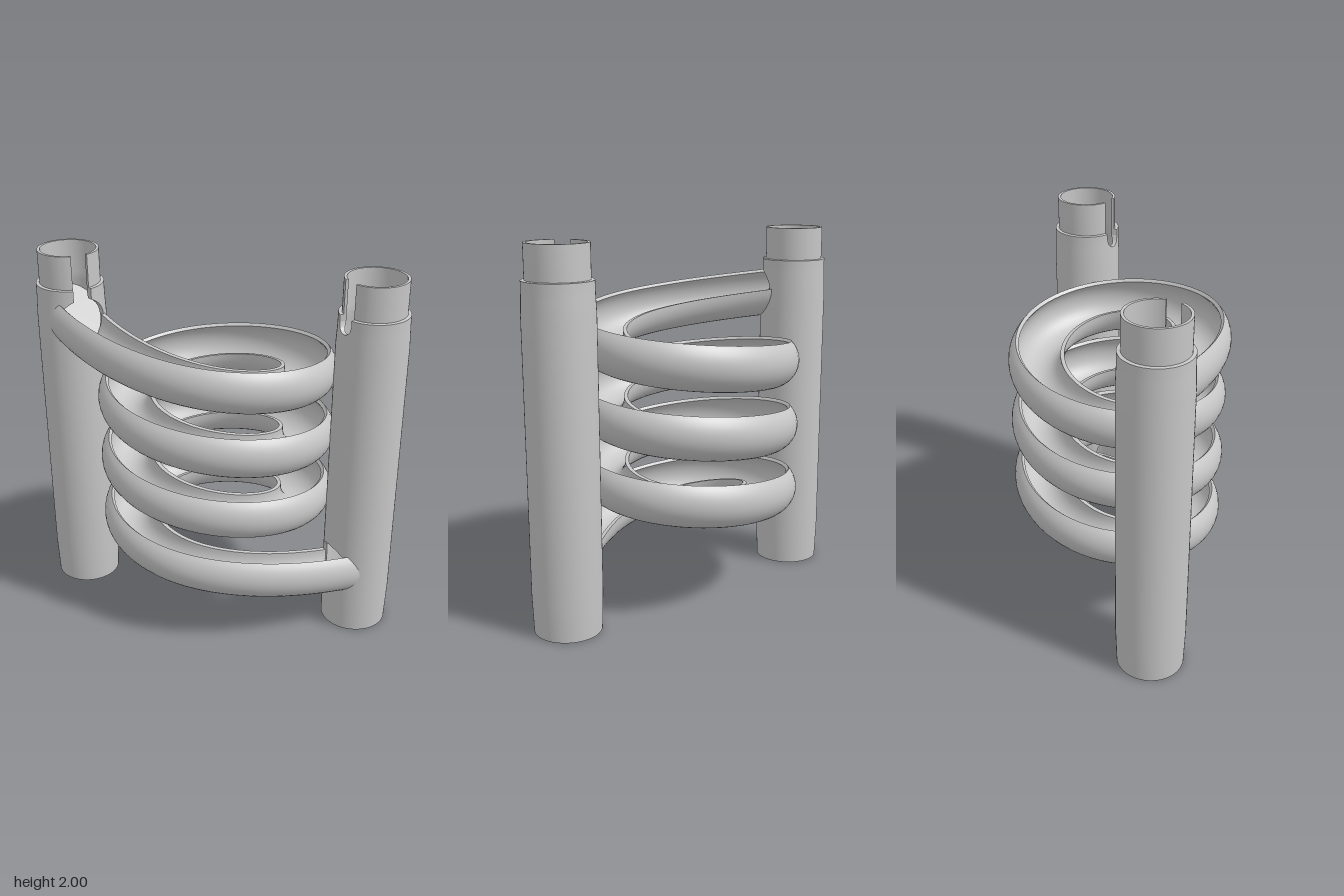
import * as THREE from 'three';
import { toCreasedNormals } from 'three/addons/utils/BufferGeometryUtils.js';

const grey = new THREE.MeshStandardMaterial({ color: 0xc6c6c6, side: THREE.DoubleSide });
grey.name = 'light grey';

const POST_X = 0.815;

// Append a capped loft through closed rings; each ring runs along one wall and back along the other
function loft(out, rings) {
  const tri = (a, b, c) => {
    const n = b.clone().sub(a).cross(c.clone().sub(a));
    if (n.length() > 1e-10) for (const p of [a, b, c]) out.push(p.x, p.y, p.z);
  };
  const quad = (a, b, c, d) => { tri(a, b, c); tri(a, c, d); };
  const n = rings[0].length;
  for (let s = 0; s < rings.length - 1; s++)
    for (let i = 0; i < n; i++) {
      const j = (i + 1) % n;
      quad(rings[s][i], rings[s][j], rings[s + 1][j], rings[s + 1][i]);
    }
  const first = rings[0], last = rings[rings.length - 1];
  for (let i = 0; i < n / 2 - 1; i++) {
    const k = n - 1 - i;
    quad(first[i], first[k], first[k - 1], first[i + 1]);
    quad(last[i], last[i + 1], last[k - 1], last[k]);
  }
}

function meshFrom(positions, name) {
  const g = new THREE.BufferGeometry();
  g.setAttribute('position', new THREE.Float32BufferAttribute(positions, 3));
  const m = new THREE.Mesh(toCreasedNormals(g, 0.6), grey);
  m.name = name;
  return m;
}

// Post wall profile: height, outer radius, inner radius
const PROFILE = [
  [0, 0.178, 0.165], [0.2, 0.185, 0.165], [1.65, 0.185, 0.165], [1.74, 0.181, 0.16],
  [1.78, 0.18, 0.147], [1.82, 0.18, 0.147], [1.822, 0.162, 0.147], [2, 0.162, 0.147],
];
function radii(y) {
  let i = 0;
  while (i < PROFILE.length - 2 && y > PROFILE[i + 1][0]) i++;
  const [a, b] = [PROFILE[i], PROFILE[i + 1]];
  const t = (y - a[0]) / (b[0] - a[0]);
  return [a[1] + (b[1] - a[1]) * t, a[2] + (b[2] - a[2]) * t];
}

// Hollow post with a round port for the channel and a slot in the neck, both facing azimuth az
function post(name, cx, az, portY, slotY) {
  const R = 0.185, portR = 0.13, slotR = 0.05;
  const dPort = Math.asin(portR / R), dSlot = Math.asin(slotR / R);
  const ring = (d, lo, hi) => {
    const outer = [], inner = [];
    for (const [row] of PROFILE) {
      const y = Math.min(hi, Math.max(lo, row));
      const [ro, ri] = radii(y);
      const c = Math.cos(az + d), s = Math.sin(az + d);
      outer.push(new THREE.Vector3(cx + ro * c, y, ro * s));
      inner.unshift(new THREE.Vector3(cx + ri * c, y, ri * s));
    }
    return [...outer, ...inner];
  };
  const out = [];
  const sector = (from, to, steps, lo, hi) => {
    const rings = [];
    for (let i = 0; i <= steps; i++) {
      const d = from + (to - from) * i / steps, u = R * Math.sin(d);
      rings.push(ring(d, lo(u), hi(u)));
    }
    loft(out, rings);
  };
  const half = (r, u) => Math.sqrt(Math.max(0, r * r - u * u));
  const base = () => 0, rim = () => 2;
  const portLow = u => portY - half(portR, u), portHigh = u => portY + half(portR, u);
  const slotLow = u => Math.max(slotY - half(slotR, u), portHigh(u));
  sector(dPort, 2 * Math.PI - dPort, 48, base, rim);
  sector(-dPort, -dSlot, 10, base, portLow);
  sector(-dSlot, dSlot, 12, base, portLow);
  sector(dSlot, dPort, 10, base, portLow);
  sector(-dPort, -dSlot, 10, portHigh, rim);
  sector(dSlot, dPort, 10, portHigh, rim);
  if (slotY > portY) sector(-dSlot, dSlot, 12, portHigh, slotLow);
  return meshFrom(out, name);
}

// Centreline: lead-in from the entry post, three elliptical turns, mirrored lead-out
const LEAD = 24, TOP_Y = 1.548, DROP = 1.08;
function channelPath() {
  const pts = [];
  const turns = 64 * 3;
  const lead = new THREE.CubicBezierCurve(
    new THREE.Vector2(-0.773, 0.06), new THREE.Vector2(-0.585, 0.24),
    new THREE.Vector2(-0.3, 0.427), new THREE.Vector2(0, 0.427)).getPoints(LEAD);
  for (let i = 0; i < LEAD; i++)
    pts.push(new THREE.Vector3(lead[i].x, TOP_Y + 0.1 * (1 - i / LEAD), lead[i].y));
  for (let i = 0; i <= turns; i++) {
    const a = 6 * Math.PI * i / turns;
    pts.push(new THREE.Vector3(0.493 * Math.sin(a), TOP_Y - DROP * i / turns, 0.427 * Math.cos(a)));
  }
  for (let i = LEAD - 1; i >= 0; i--)
    pts.push(new THREE.Vector3(-lead[i].x, TOP_Y - DROP - 0.1 * (1 - i / LEAD), lead[i].y));
  return pts;
}

// Open-topped spiral gutter with a higher outer lip
function channel() {
  const path = channelPath(), N = 24;
  const top = Math.PI * 0.25, end = -Math.PI * 1.03;
  const rings = path.map((p, k) => {
    const t = path[Math.min(k + 1, path.length - 1)].clone().sub(path[Math.max(k - 1, 0)]);
    t.y = 0;
    t.normalize();
    const at = (r, i) => {
      const a = top + (end - top) * i / N, o = r * Math.cos(a);
      const v = new THREE.Vector3(p.x - t.z * o, p.y + r * Math.sin(a), p.z + t.x * o);
      // Keep the ends flush with the bore of the posts
      const cx = Math.sign(v.x) * POST_X, dx = v.x - cx, d = Math.hypot(dx, v.z);
      if (d < 0.167 && (k < LEAD || k >= path.length - LEAD)) {
        v.x = cx + dx * 0.167 / d;
        v.z *= 0.167 / d;
      }
      return v;
    };
    const ring = [];
    for (let i = 0; i <= N; i++) ring.push(at(0.149, i));
    for (let i = N; i >= 0; i--) ring.push(at(0.128, i));
    return ring;
  });
  const out = [];
  loft(out, rings);
  return meshFrom(out, 'spiralChannel');
}

// Sloping floor that steers into the channel
function ramp() {
  const g = new THREE.CylinderGeometry(0.164, 0.164, 0.02, 40);
  const p = g.attributes.position;
  for (let i = 0; i < p.count; i++)
    p.setY(i, p.getY(i) + 1.63 - 0.75 * (p.getX(i) + p.getZ(i)) * Math.SQRT1_2);
  g.computeVertexNormals();
  const m = new THREE.Mesh(g, grey);
  m.name = 'entryRamp';
  m.position.x = -POST_X;
  return m;
}

export function createModel() {
  const model = new THREE.Group();
  model.name = 'spiralMarbleTrack';
  model.add(
    post('entryPost', -POST_X, Math.PI / 4, 1.64, 0),
    post('exitPost', POST_X, Math.PI * 3 / 4, 0.375, 1.785),
    channel(),
    ramp());
  return model;
}
